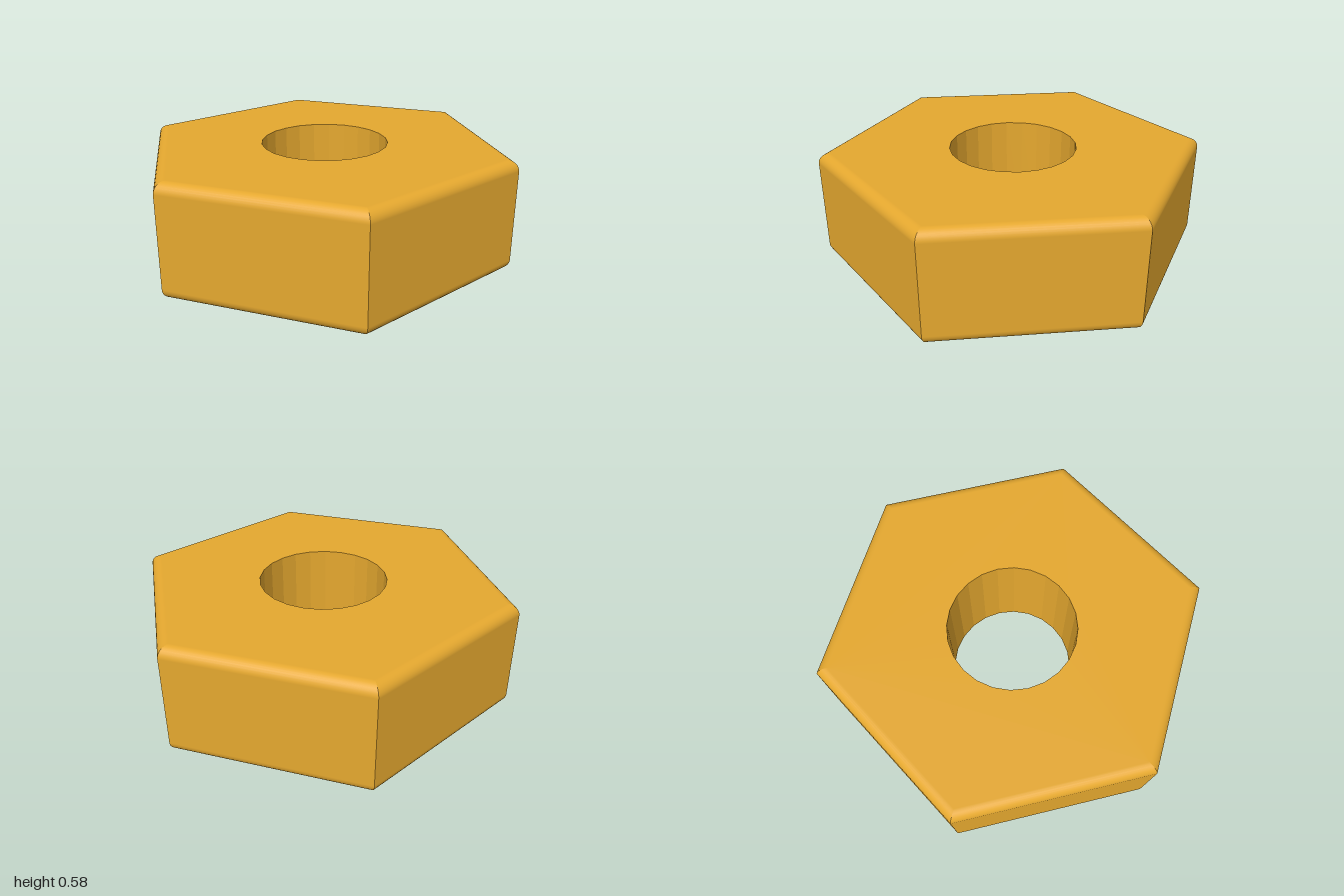
import * as THREE from 'three';

const HEIGHT = 0.585, BEVEL = 0.055, HOLE = 0.33, HOLE_SIDES = 24;
const COS30 = Math.cos(Math.PI / 6);

export function createModel() {
  const nut = new THREE.Group();
  nut.name = 'hexNut';
  const material = new THREE.MeshStandardMaterial({ color: 0xe5a82f });
  const add = (name, geometry) => {
    const mesh = new THREE.Mesh(geometry, material);
    mesh.name = name;
    nut.add(mesh);
    return mesh;
  };

  // Rounded profile of a side, from bottom to top, with its normal angles
  const profile = [], angles = [], steps = 8;
  for (const [from, centerY] of [[-Math.PI / 2, BEVEL], [0, HEIGHT - BEVEL]]) {
    for (let i = 0; i <= steps; i++) {
      const a = from + (i / steps) * Math.PI / 2;
      const apothem = COS30 - BEVEL + BEVEL * Math.cos(a);
      profile.push(new THREE.Vector2(apothem / COS30, centerY + BEVEL * Math.sin(a)));
      angles.push(a);
    }
  }

  // Six flat sides with rounded edges and sharp mitred corners
  for (let k = 0; k < 6; k++) {
    const start = k * Math.PI / 3, facing = start + Math.PI / 6;
    const side = new THREE.LatheGeometry(profile, 1, start, Math.PI / 3);
    const normal = side.attributes.normal;
    for (let i = 0; i < normal.count; i++) {
      const a = angles[i % angles.length];
      normal.setXYZ(i, Math.cos(a) * Math.sin(facing), Math.sin(a), Math.cos(a) * Math.cos(facing));
    }
    add('side' + (k + 1), side);
  }

  // Top and bottom faces with the round opening
  const ring = (radius, sides) => Array.from({ length: sides }, (_, i) => {
    const a = Math.PI / 2 + (i / sides) * Math.PI * 2;
    return new THREE.Vector2(radius * Math.cos(a), radius * Math.sin(a));
  });
  const face = new THREE.Shape(ring(1 - BEVEL / COS30, 6));
  face.holes.push(new THREE.Path(ring(HOLE, HOLE_SIDES)));
  add('topFace', new THREE.ShapeGeometry(face).rotateX(-Math.PI / 2)).position.y = HEIGHT;
  add('bottomFace', new THREE.ShapeGeometry(face).rotateX(Math.PI / 2));

  // Faceted wall of the hole, wound from top to bottom so it faces inward
  const wall = new THREE.LatheGeometry(
    [new THREE.Vector2(HOLE, HEIGHT), new THREE.Vector2(HOLE, 0)], HOLE_SIDES
  ).toNonIndexed();
  wall.computeVertexNormals();
  add('holeWall', wall);

  return nut;
}
